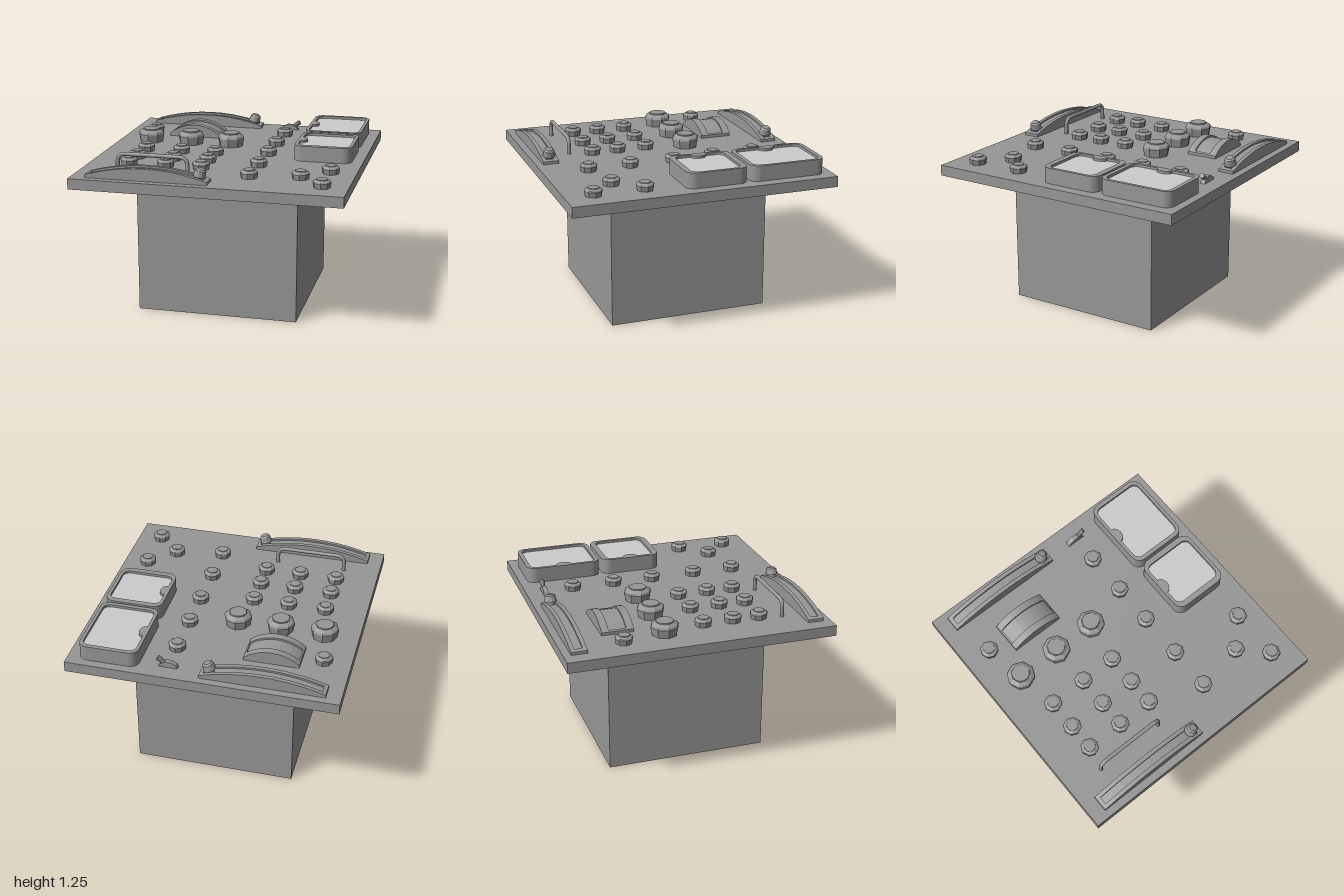
import * as THREE from 'three';

const TOP = 1.11; // upper face of the panel
const grey = new THREE.MeshStandardMaterial({ color: 0x979797, flatShading: true });
const smooth = new THREE.MeshStandardMaterial({ color: 0x979797 });
const pale = new THREE.MeshStandardMaterial({ color: 0xcccccc });

function add(parent, name, geometry, x = 0, y = 0, z = 0, material = grey) {
  const mesh = new THREE.Mesh(geometry, material);
  mesh.name = name;
  mesh.position.set(x, y, z);
  parent.add(mesh);
  return mesh;
}

function group(parent, name, x, y, z) {
  const g = new THREE.Group();
  g.name = name;
  g.position.set(x, y, z);
  parent.add(g);
  return g;
}

const lathe = (profile, sides) =>
  new THREE.LatheGeometry(profile.map(p => new THREE.Vector2(...p)), sides);

// Octagonal knob: slightly narrower skirt, wide shoulder, chamfered crown, round cap
function addKnob(parent, name, x, z, r, h) {
  const g = group(parent, name, x, TOP, z);
  add(g, 'knobBody', lathe([[r * 0.88, 0], [r, h * 0.62], [r * 0.93, h * 0.76], [r * 0.67, h * 0.92], [0, h * 0.92]], 8));
  add(g, 'knobCap', new THREE.CylinderGeometry(r * 0.6, r * 0.63, h * 0.2, 16), 0, h * 0.9, 0);
}

// Arched housing with a sunken track along its middle
function addArch(parent, name, x, z, half, depth, trackDepth, endHeight, rise, endWall) {
  const g = group(parent, name, x, TOP, z);
  const R = (half * half + rise * rise) / (2 * rise);
  const surface = px => endHeight + rise - R + Math.sqrt(R * R - px * px);
  const slab = (part, xa, xb, zMid, width, drop) => {
    const s = new THREE.Shape();
    s.moveTo(xa, 0);
    s.lineTo(xb, 0);
    for (let i = 0; i <= 10; i++) {
      const px = xb + (xa - xb) * i / 10;
      s.lineTo(px, surface(px) - drop);
    }
    s.closePath();
    const geo = new THREE.ExtrudeGeometry(s, { depth: width, bevelEnabled: false });
    add(g, part, geo, 0, 0, zMid - width / 2);
  };
  const rail = (depth - trackDepth) / 2;
  for (const side of [-1, 1]) {
    slab('rail', -half, half, side * (trackDepth + rail) / 2, rail, 0);
  }
  slab('track', -half + endWall, half - endWall, 0, trackDepth, 0.014);
  slab('endWall', -half, -half + endWall, 0, trackDepth, 0);
  slab('endWall', half - endWall, half, 0, trackDepth, 0);
  return g;
}

// Rounded rectangle centred on the origin, optionally with a rounded notch in its left side
function roundedRect(w, h, r, notched = false) {
  const s = new THREE.Shape(), a = w / 2, b = h / 2;
  s.moveTo(-a + r, -b);
  s.lineTo(a - r, -b);
  s.absarc(a - r, -b + r, r, -Math.PI / 2, 0);
  s.lineTo(a, b - r);
  s.absarc(a - r, b - r, r, 0, Math.PI / 2);
  s.lineTo(-a + r, b);
  s.absarc(-a + r, b - r, r, Math.PI / 2, Math.PI);
  if (notched) s.absellipse(-a, 0, 0.045, 0.06, Math.PI / 2, -Math.PI / 2, true);
  s.lineTo(-a, -b + r);
  s.absarc(-a + r, -b + r, r, Math.PI, Math.PI * 1.5);
  return s;
}

// Framed display with a pale window set just below its rim
function addDisplay(parent, x, z, w, d, innerW, innerD) {
  const g = group(parent, 'display', x, TOP, z);
  const layer = (name, shape, height, material) => {
    const geo = new THREE.ExtrudeGeometry(shape, { depth: height, bevelEnabled: false, curveSegments: 6 });
    geo.rotateX(-Math.PI / 2);
    add(g, name, geo, 0, 0, 0, material);
  };
  const opening = roundedRect(innerW, innerD, 0.05, true);
  const frame = roundedRect(w, d, 0.07);
  frame.holes.push(opening);
  layer('displayFrame', frame, 0.117, grey);
  layer('displayWindow', opening, 0.098, pale);
}

export function createModel() {
  const model = new THREE.Group();
  model.name = 'controlConsole';

  // Pedestal and panel
  add(model, 'pedestal', new THREE.BoxGeometry(1.214, 1.03, 1.214), 0, 0.515, 0);
  add(model, 'panel', new THREE.BoxGeometry(2, 0.08, 2), 0, 1.07, 0);

  // Knobs
  for (const x of [-0.745, -0.415, -0.09]) addKnob(model, 'largeKnob', x, -0.223, 0.106, 0.105);
  const spots = [[-0.8, -0.54], [0.812, 0.414], [0.625, 0.605], [0.812, 0.793]];
  for (const x of [-0.69, -0.407, -0.137]) for (const z of [0.088, 0.315, 0.518]) spots.push([x, z]);
  for (const z of [-0.637, -0.312, 0, 0.342, 0.665]) spots.push([0.26, z]);
  for (const [x, z] of spots) addKnob(model, 'smallKnob', x, z, 0.068, 0.063);

  // Curved sliders, each with a leaning lever knob
  for (const z of [-0.885, 0.885]) {
    const slider = addArch(model, 'slider', -0.436, z, 0.455, 0.12, 0.06, 0.022, 0.07, 0.03);
    const lever = add(slider, 'sliderKnob',
      lathe([[0.028, -0.02], [0.03, 0.012], [0.047, 0.014], [0.04, 0.06], [0.028, 0.072], [0, 0.072]], 12), 0.382, 0.036, 0);
    lever.rotation.z = -0.3;
  }

  // Arched drum gauge
  addArch(model, 'drumGauge', -0.441, -0.54, 0.205, 0.24, 0.13, 0.022, 0.075, 0.012);

  // Grab handle
  const v = (x, y) => new THREE.Vector3(x, y, 0);
  const path = new THREE.CurvePath();
  path.add(new THREE.LineCurve3(v(-0.265, 0), v(-0.265, 0.075)));
  path.add(new THREE.QuadraticBezierCurve3(v(-0.265, 0.075), v(-0.255, 0.125), v(-0.21, 0.125)));
  path.add(new THREE.LineCurve3(v(-0.21, 0.125), v(0.21, 0.125)));
  path.add(new THREE.QuadraticBezierCurve3(v(0.21, 0.125), v(0.255, 0.125), v(0.265, 0.075)));
  path.add(new THREE.LineCurve3(v(0.265, 0.075), v(0.265, 0)));
  add(model, 'handle', new THREE.TubeGeometry(path, 60, 0.015, 10), -0.457, TOP, 0.688, smooth);

  // Toggle switch
  const toggle = group(model, 'toggleSwitch', 0.26, TOP, -0.861);
  const base = new THREE.Shape();
  base.moveTo(-0.07, 0);
  base.lineTo(0.07, 0);
  base.lineTo(0.055, 0.025);
  base.lineTo(0.02, 0.042);
  base.lineTo(-0.02, 0.042);
  base.lineTo(-0.055, 0.025);
  add(toggle, 'toggleBase', new THREE.ExtrudeGeometry(base, { depth: 0.038, bevelEnabled: false }), 0, 0, -0.019);
  const stick = add(toggle, 'toggleLever', new THREE.CylinderGeometry(0.02, 0.012, 0.1, 8), 0.04, 0.035, 0);
  stick.rotation.z = -0.95;

  // Displays
  addDisplay(model, 0.694, -0.647, 0.444, 0.58, 0.395, 0.515);
  addDisplay(model, 0.697, -0.102, 0.44, 0.468, 0.39, 0.38);

  return model;
}
